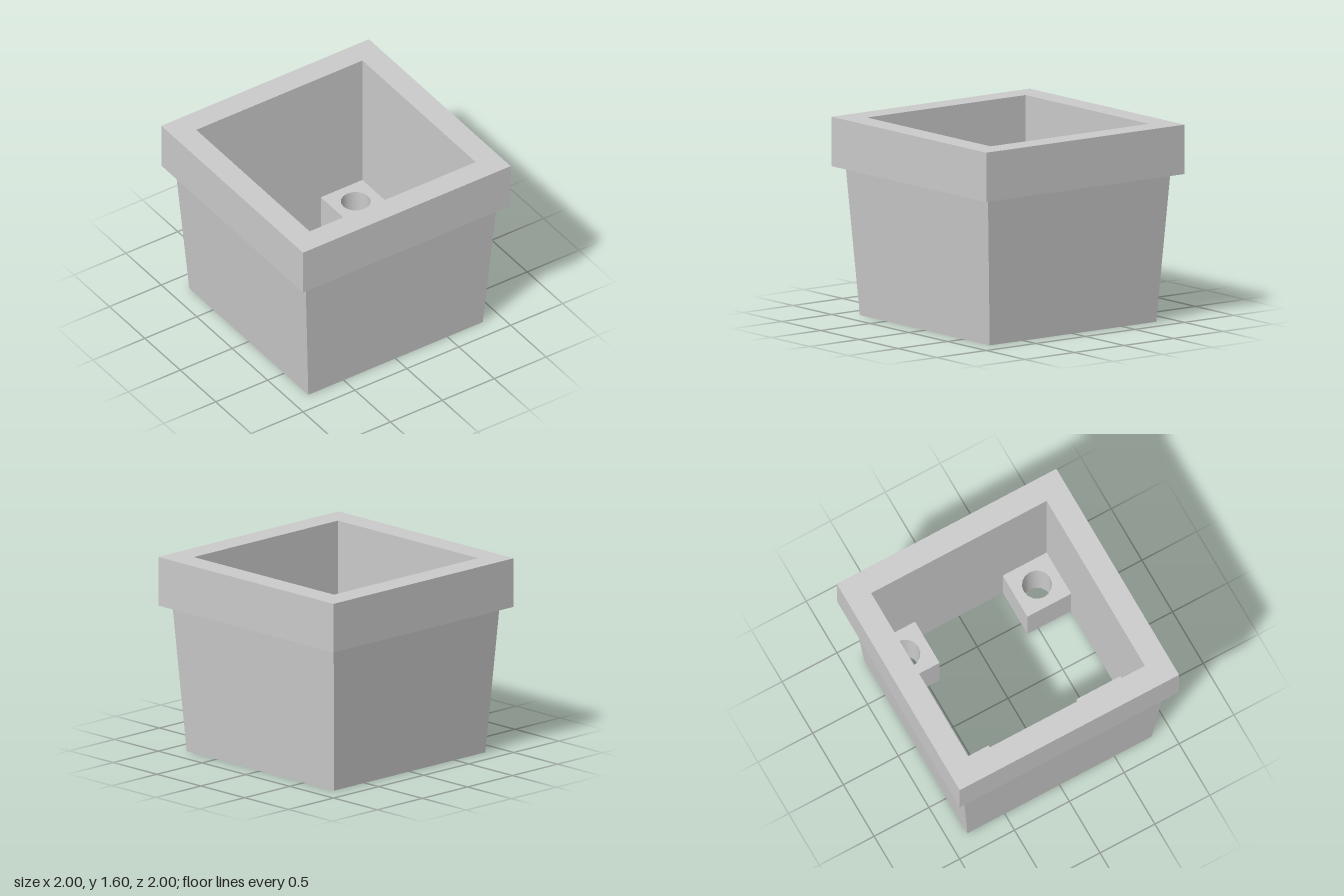
import * as THREE from 'three';
import { toCreasedNormals } from 'three/addons/utils/BufferGeometryUtils.js';

const material = new THREE.MeshStandardMaterial({ color: 0xcccccc });

// Square ring: a closed [half width, height] profile swept around four sides
function squareLathe(profile) {
  const points = profile.map(([half, y]) => new THREE.Vector2(half * Math.SQRT2, y));
  const geometry = new THREE.LatheGeometry(points, 4).rotateY(Math.PI / 4);
  return toCreasedNormals(geometry, 0.02);
}

// Square block with a round drain hole through it, standing on y = 0
function drainBlock(size, height, holeRadius) {
  const h = size / 2;
  const shape = new THREE.Shape([
    new THREE.Vector2(-h, -h), new THREE.Vector2(h, -h),
    new THREE.Vector2(h, h), new THREE.Vector2(-h, h),
  ]);
  shape.holes.push(new THREE.Path().absarc(0, 0, holeRadius, 0, Math.PI * 2, true));
  const geometry = new THREE.ExtrudeGeometry(shape, { depth: height, bevelEnabled: false, curveSegments: 8 });
  return toCreasedNormals(geometry.rotateX(-Math.PI / 2), 0.7);
}

export function createModel() {
  const model = new THREE.Group();
  model.name = 'planter';

  // Tapered outer wall, overhanging rim and straight inner wall
  const pot = new THREE.Mesh(squareLathe([
    [0.8, 0], [0.84, 0], [0.92, 1.2], [1, 1.2], [1, 1.6], [0.8, 1.6], [0.8, 0],
  ]), material);
  pot.name = 'potWallAndRim';
  model.add(pot);

  // Four corner blocks with drain holes; the floor between them is open
  const blockGeometry = drainBlock(0.4, 0.4, 0.12);
  for (const [x, xName] of [[0.6, 'Left'], [-0.6, 'Right']]) {
    for (const [z, zName] of [[0.6, 'front'], [-0.6, 'back']]) {
      const block = new THREE.Mesh(blockGeometry, material);
      block.name = `${zName}${xName}DrainBlock`;
      block.position.set(x, 0, z);
      model.add(block);
    }
  }
  return model;
}
